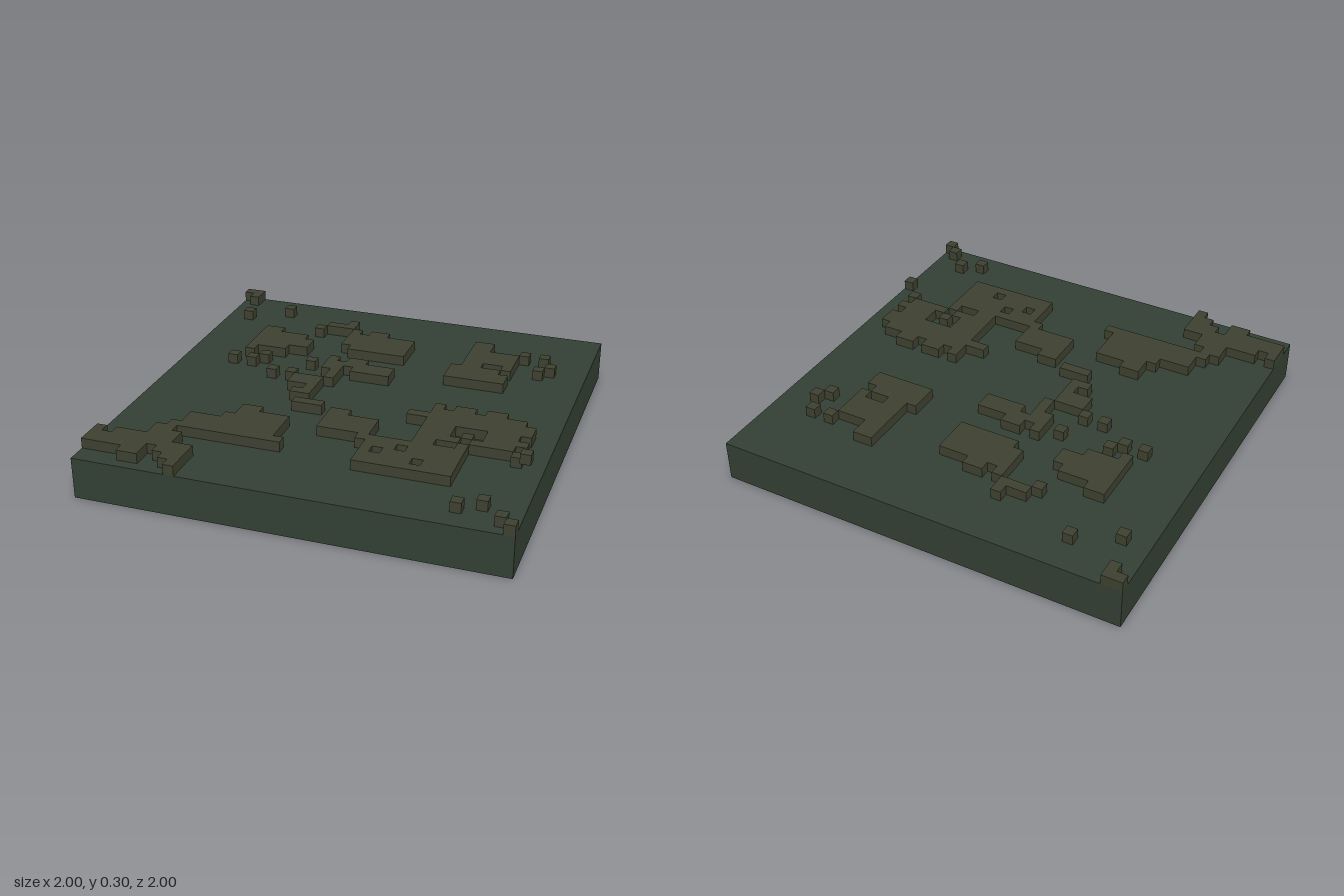
import * as THREE from 'three';
import { mergeGeometries } from 'three/addons/utils/BufferGeometryUtils.js';

const CELL = 0.05, BASE_H = 0.2;

// Raised plates drawn as cell maps: [name, first column, first row, map]
const PATCHES = [
  ['backCornerPatch', 0, 0, ['##', '.#']],
  ['backPatch', 11, 5, [
    '...#.......',
    '.###.......',
    '#...#.##...',
    '....#######',
    '....#######',
    '....#######',
    '.....######']],
  ['rightPatch', 6, 9, ['##....', '#####.', '######', '######', '####..', '#.....']],
  ['centrePatch', 13, 14, [
    '..#.##...',
    '..#######',
    '..##.####'.replace('##.', '##.'),
    '...#.....',
    '...#.....',
    '###......',
    '###......',
    '..#......',
    '.##......']],
  ['centreStrip', 15, 24, ['###']],
  ['leftBackPatch', 27, 6, [
    '.##...',
    '.##...',
    '.#####',
    '.#####',
    '.#####',
    '.##..#',
    '#####.',
    '######',
    '######']],
  ['largePatch', 19, 21, [
    '.........#.##.##...',
    '.........#########.',
    '.......############',
    '.........##########',
    '##.......###...###.',
    '#####....###.#.####',
    '#####....####.####.',
    '#####....##..#....#',
    '....##########.....',
    '.....###.#####.....',
    '.....#.########....'.slice(0, 14),
    '.....#####.###.....',
    '.....#########.....']],
  ['frontPatch', 0, 27, [
    '...........##....',
    '...........#####.',
    '..........######.',
    '.......#########.',
    '.......#########.',
    '......###########',
    '.....##..........',
    '.....###.........',
    '#.######.........',
    '##########.......',
    '######.###.......',
    '....##..##.......',
    '.........#.......']],
];

// Single loose cells: [column, row]
const LOOSE = [[6, 3], [2, 5], [8, 15], [5, 16], [7, 16], [13, 15], [10, 18], [12, 18],
  [33, 7], [35, 7], [36, 9], [35, 10], [34, 37], [36, 36], [38, 38], [39, 39]];

const at = (i) => -1 + (i + 0.5) * CELL;

// One plate: top faces everywhere, side faces only along the outline
function patchGeometry(col, row, map) {
  const filled = (i, j) => map[j]?.[i] === '#';
  const faces = [];
  map.forEach((line, j) => [...line].forEach((c, i) => {
    if (c !== '#') return;
    const x = at(col + i), z = at(row + j);
    const top = new THREE.PlaneGeometry(CELL, CELL).rotateX(-Math.PI / 2);
    faces.push(top.translate(x, BASE_H + CELL, z));
    [[0, 1], [1, 0], [0, -1], [-1, 0]].forEach(([dx, dz], k) => {
      if (filled(i + dx, j + dz)) return;
      const side = new THREE.PlaneGeometry(CELL, CELL).translate(0, 0, CELL / 2);
      faces.push(side.rotateY(k * Math.PI / 2).translate(x, BASE_H + CELL / 2, z));
    });
  }));
  return mergeGeometries(faces);
}

export function createModel() {
  const group = new THREE.Group();
  const baseMat = new THREE.MeshStandardMaterial({ color: 0x334034 });
  const patchMat = new THREE.MeshStandardMaterial({ color: 0x3e4130 });
  const add = (name, geometry, material) => {
    const mesh = new THREE.Mesh(geometry, material);
    mesh.name = name;
    group.add(mesh);
    return mesh;
  };

  // Ground slab
  add('groundSlab', new THREE.BoxGeometry(2, BASE_H, 2), baseMat).position.y = BASE_H / 2;

  // Raised plates
  for (const [name, col, row, map] of PATCHES) add(name, patchGeometry(col, row, map), patchMat);

  // Loose cubes
  const cube = new THREE.BoxGeometry(CELL, CELL, CELL);
  LOOSE.forEach(([i, j]) => add('looseCube', cube, patchMat).position.set(at(i), BASE_H + CELL / 2, at(j)));

  // Cube one level higher
  add('highCube', cube, patchMat).position.set(at(38), BASE_H + CELL * 1.5, at(29));

  return group;
}
